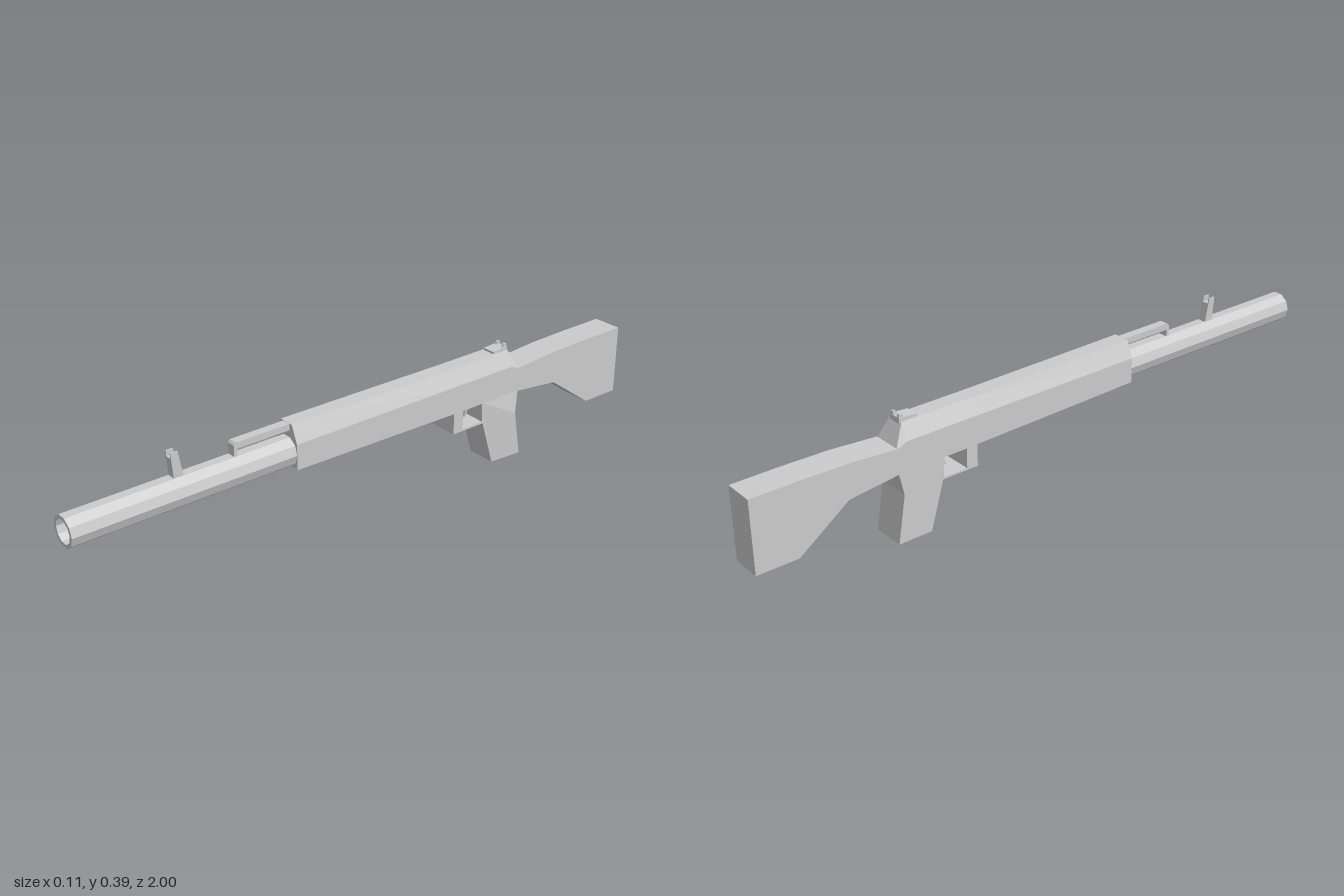
import * as THREE from 'three';

const CX = -0.005; // centre plane of the body
const HALF = 0.048; // half width of the body
const mat = new THREE.MeshStandardMaterial({ color: 0xcccccc, flatShading: true, side: THREE.DoubleSide });

function add(group, name, geo) {
  const mesh = new THREE.Mesh(geo, mat);
  mesh.name = name;
  group.add(mesh);
  return mesh;
}

// Side profile of [z, y] points, extruded across x
function slab(points, half = HALF, x = CX, hole = null) {
  const toVec = (p) => new THREE.Vector2(-p[0], p[1]);
  const shape = new THREE.Shape(points.map(toVec));
  if (hole) shape.holes.push(new THREE.Path(hole.map(toVec)));
  const geo = new THREE.ExtrudeGeometry(shape, { depth: half * 2, bevelEnabled: false, steps: 1 });
  return geo.rotateY(Math.PI / 2).translate(x - half, 0, 0);
}

// Six-sided cross-sections joined from front to back, capped at both ends
function receiverGeometry() {
  const sections = [ // z, bottom, shoulder, top, half width of top
    [0.3, 0.228, 0.307, 0.36, 0.026],
    [0.2, 0.226, 0.307, 0.359, 0.026],
    [-0.28, 0.218, 0.307, 0.355, 0.026],
    [-0.52, 0.218, 0.307, 0.355, 0.026],
    [-0.55, 0.216, 0.293, 0.295, 0.044],
  ];
  const pos = [], index = [], n = 6;
  for (const [z, b, s, t, w] of sections) {
    for (const [x, y] of [[-HALF, b], [HALF, b], [HALF, s], [w, t], [-w, t], [-HALF, s]]) pos.push(CX + x, y, z);
  }
  for (let i = 0; i < sections.length - 1; i++) {
    for (let j = 0; j < n; j++) {
      const a = i * n + j, b = i * n + (j + 1) % n;
      index.push(a, a + n, b, b, a + n, b + n);
    }
  }
  const last = (sections.length - 1) * n;
  for (let j = 1; j < n - 1; j++) index.push(0, j, j + 1, last, last + j + 1, last + j);
  const geo = new THREE.BufferGeometry();
  geo.setAttribute('position', new THREE.Float32BufferAttribute(pos, 3));
  geo.setIndex(index);
  geo.computeVertexNormals();
  return geo;
}

export function createModel() {
  const model = new THREE.Group();
  model.name = 'rifle';

  add(model, 'receiver', receiverGeometry());

  // Hollow ten-sided barrel with a closed bore end
  const profile = [[0.047, 0.29], [0.047, 1], [0.036, 1], [0.036, 0.31], [0, 0.31]].map((p) => new THREE.Vector2(...p));
  const barrel = new THREE.LatheGeometry(profile, 10, Math.PI / 2).rotateX(Math.PI / 2);
  add(model, 'barrel', barrel.translate(-0.004, 0.273, 0));

  add(model, 'stock', slab([
    [-0.55, 0.216], [-0.71, 0.198], [-0.87, 0.083], [-1, 0.083], [-1, 0.308], [-0.85, 0.308], [-0.7, 0.305], [-0.55, 0.294],
  ]));

  // Grip, its left side flaring towards the lower back
  const grip = slab([[-0.4, 0.219], [-0.405, 0.15], [-0.45, 0], [-0.56, 0], [-0.535, 0.148], [-0.55, 0.217]]);
  const p = grip.attributes.position;
  for (let i = 0; i < p.count; i++) {
    if (p.getX(i) > 0 && p.getY(i) < 0.2 && p.getZ(i) < -0.5) p.setX(i, 0.052);
  }
  grip.computeVertexNormals();
  add(model, 'grip', grip);

  // Trigger guard and trigger
  add(model, 'triggerGuard', slab(
    [[-0.285, 0.219], [-0.285, 0.149], [-0.41, 0.149], [-0.41, 0.219]], HALF, CX,
    [[-0.322, 0.217], [-0.4, 0.217], [-0.403, 0.155], [-0.322, 0.155]],
  ));
  add(model, 'trigger', slab([[-0.372, 0.222], [-0.372, 0.19], [-0.364, 0.168], [-0.37, 0.168], [-0.378, 0.19], [-0.38, 0.222]], 0.008));

  // Rail above the barrel, bent down at its front end
  add(model, 'topRail', slab([
    [0.29, 0.359], [0.478, 0.359], [0.485, 0.352], [0.485, 0.312], [0.475, 0.312], [0.475, 0.339], [0.29, 0.339],
  ], 0.014));

  // Front sight: post with two prongs
  add(model, 'frontSightPost', slab([[0.68, 0.376], [0.675, 0.312], [0.644, 0.312], [0.656, 0.376]], 0.013));
  for (const s of [-1, 1]) {
    add(model, 'frontSightProng', slab([[0.681, 0.393], [0.68, 0.372], [0.655, 0.372], [0.659, 0.393]], 0.002, CX + s * 0.0115));
  }

  // Rear sight: low base, raised leaf and two ears
  add(model, 'rearSightBase', slab([[-0.465, 0.354], [-0.465, 0.362], [-0.505, 0.365], [-0.522, 0.365], [-0.524, 0.35]], 0.021));
  for (const s of [-1, 1]) {
    add(model, 'rearSightEar', slab([[-0.505, 0.363], [-0.513, 0.375], [-0.52, 0.375], [-0.523, 0.363]], 0.005, CX + s * 0.0135));
  }

  return model;
}
